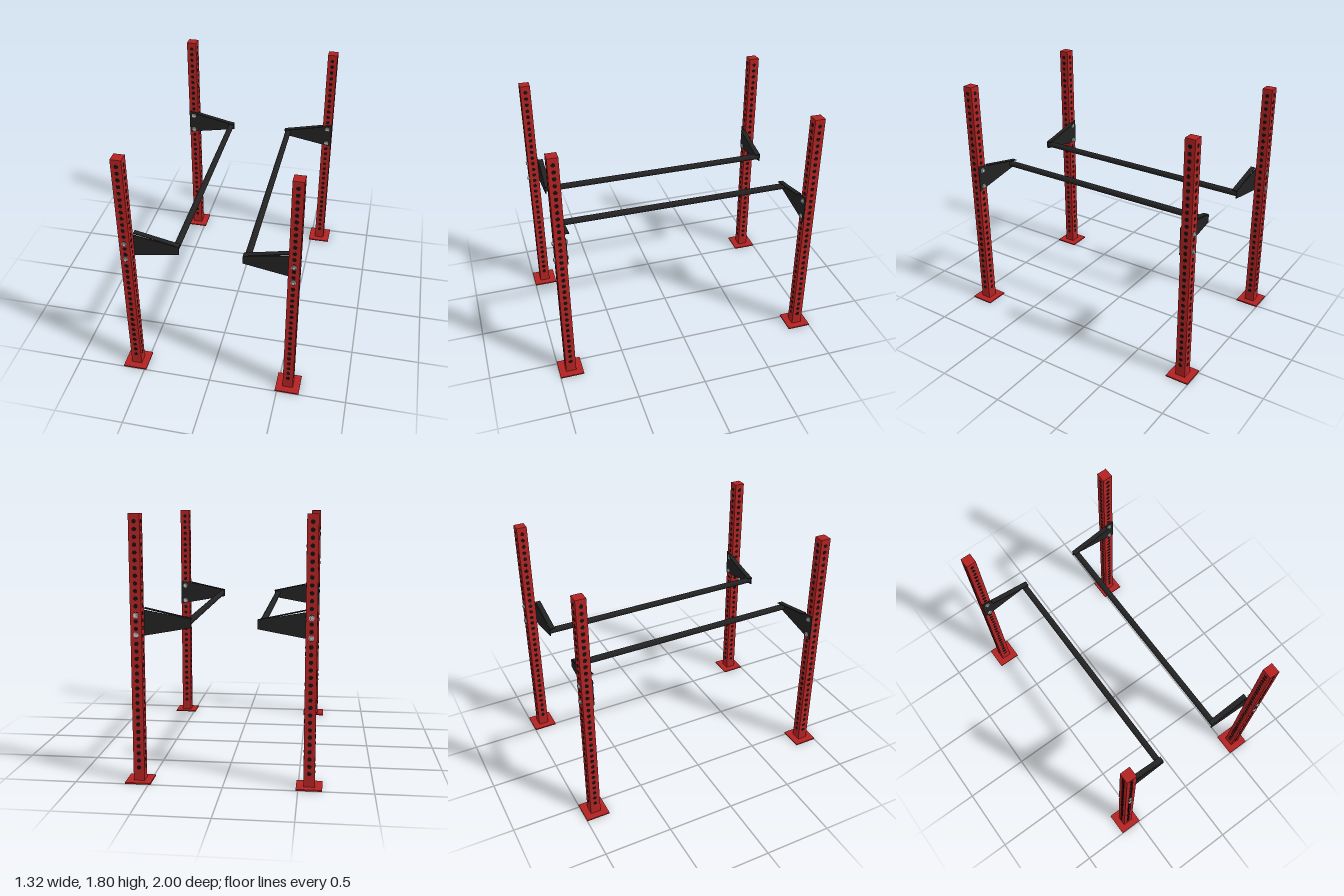
import * as THREE from 'three';

const material = (name, color) => {
  const m = new THREE.MeshStandardMaterial({ color });
  m.name = name;
  return m;
};

export function createModel() {
  const red = material('red paint', 0xb22222);
  const black = material('black steel', 0x222222);
  const dark = material('hole black', 0x111111);
  const steel = material('bolt steel', 0xc0c0c0);

  const model = new THREE.Group();
  model.name = 'parallelBarRack';

  const add = (parent, name, geometry, mat, x, y, z) => {
    const mesh = new THREE.Mesh(geometry, mat);
    mesh.name = name;
    mesh.position.set(x, y, z);
    parent.add(mesh);
    return mesh;
  };

  const POST_X = 0.573, POST_Z = 0.913, WIDTH = 0.075, HEIGHT = 1.8;
  const BAR_X = 0.246, BAR_Y = 1.08, PLATE = 0.007;
  const innerFace = POST_Z - WIDTH / 2;

  // Shared geometries
  const postGeo = new THREE.BoxGeometry(WIDTH, HEIGHT - 0.01, WIDTH);
  const baseGeo = new THREE.BoxGeometry(0.174, 0.01, 0.174);
  const holeZ = new THREE.CylinderGeometry(0.014, 0.014, WIDTH + 0.003, 16).rotateX(Math.PI / 2);
  const holeX = new THREE.CylinderGeometry(0.014, 0.014, WIDTH + 0.003, 16).rotateZ(Math.PI / 2);
  const washerGeo = new THREE.CylinderGeometry(0.018, 0.018, 0.004, 20).rotateX(Math.PI / 2);
  const hexGeo = new THREE.CylinderGeometry(0.014, 0.014, 0.01, 6).rotateX(Math.PI / 2);

  // Tapered bracket plate with a sloping top flange
  function addBracket(parent, sx, sz) {
    const outline = [[0.61, 0.98], [0.22, 1.05], [0.22, 1.11], [0.61, 1.18]];
    const shape = new THREE.Shape(outline.map(([x, y]) => new THREE.Vector2(sx * x, y)));
    const plateGeo = new THREE.ExtrudeGeometry(shape, { depth: PLATE, bevelEnabled: false });
    add(parent, 'bracketPlate', plateGeo, black, 0, 0, sz * (innerFace - PLATE / 2) - PLATE / 2);

    const run = 0.315, rise = 0.069;
    const flangeGeo = new THREE.BoxGeometry(Math.hypot(run, rise), 0.006, 0.036);
    const flange = add(parent, 'bracketFlange', flangeGeo, black,
      sx * 0.3775, 1.1425, sz * (innerFace - PLATE - 0.016));
    flange.rotation.z = sx * Math.atan2(rise, run);
  }

  // Four perforated uprights with feet, brackets and bolts
  for (const sx of [-1, 1]) {
    for (const sz of [-1, 1]) {
      const corner = new THREE.Group();
      corner.name = (sz > 0 ? 'front' : 'back') + (sx > 0 ? 'Left' : 'Right') + 'Upright';
      model.add(corner);
      const x = sx * POST_X, z = sz * POST_Z;

      add(corner, 'basePlate', baseGeo, red, x, 0.005, z);
      add(corner, 'post', postGeo, red, x, 0.01 + (HEIGHT - 0.01) / 2, z);

      for (let i = 0; i < 34; i++) {
        const y = 0.1 + i * 0.05;
        add(corner, 'holeFrontToBack', holeZ, dark, x, y, z);
        add(corner, 'holeSideToSide', holeX, dark, x, y, z);
      }

      addBracket(corner, sx, sz);

      // Bolt heads on the outer face, nuts on the bracket plate
      const outer = POST_Z + WIDTH / 2, inner = innerFace - PLATE;
      for (const y of [1.01, 1.14]) {
        add(corner, 'washer', washerGeo, steel, x, y, sz * (outer + 0.002));
        add(corner, 'boltHead', hexGeo, steel, x, y, sz * (outer + 0.007));
        add(corner, 'washer', washerGeo, steel, x, y, sz * (inner - 0.002));
        add(corner, 'nut', hexGeo, steel, x, y, sz * (inner - 0.007));
      }
    }

    // Long round grip bar joining front and back brackets
    const length = 2 * (innerFace - PLATE);
    const barGeo = new THREE.CylinderGeometry(0.0225, 0.0225, length, 28).rotateX(Math.PI / 2);
    add(model, sx > 0 ? 'leftBar' : 'rightBar', barGeo, black, sx * BAR_X, BAR_Y, 0);
  }

  return model;
}
